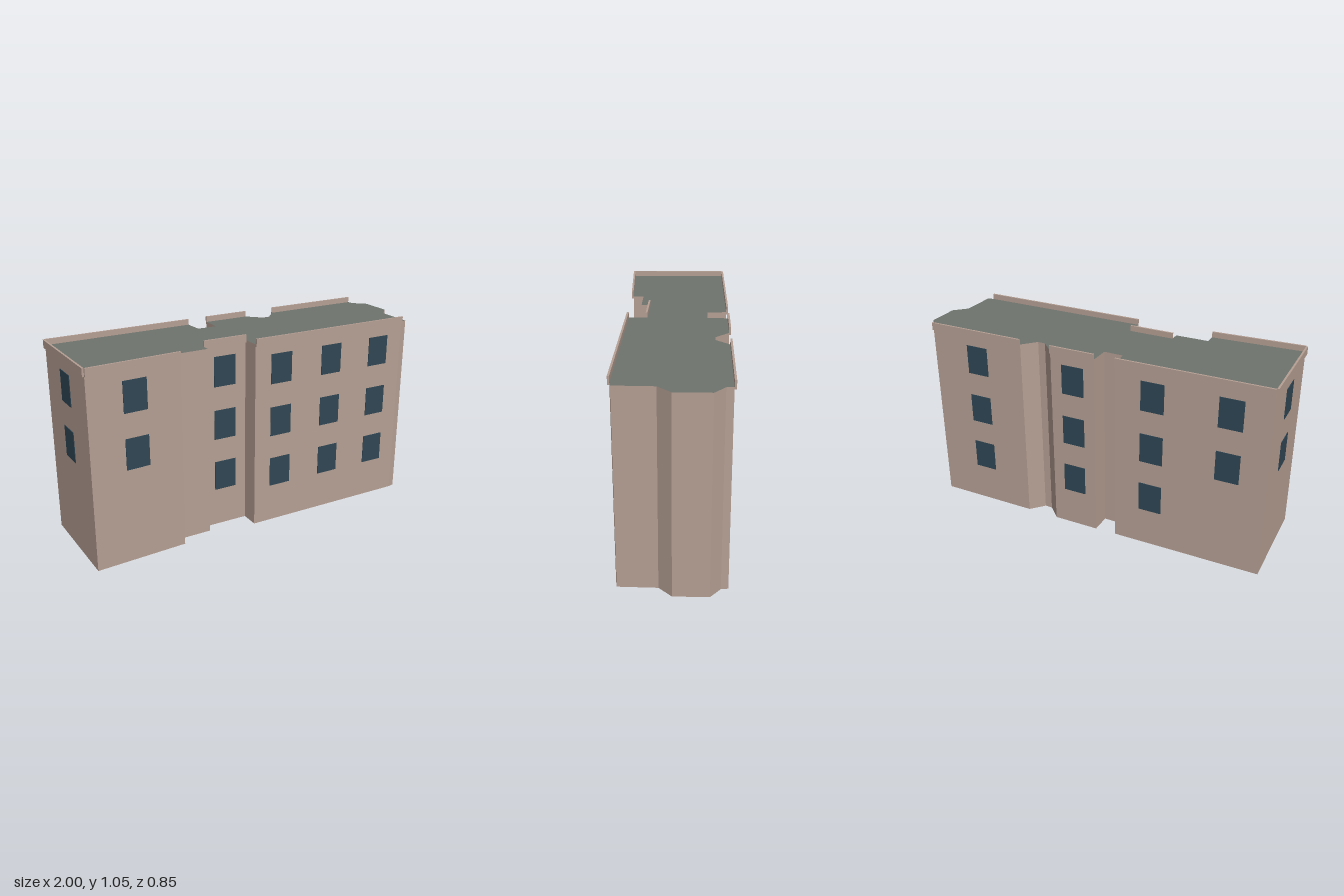
import * as THREE from 'three';

const ROOF_Y = 1.02;

// Footprint corners [x, z], running along the back, the right end, the front and the left end.
// Optional third entry: windows per column (number of storeys, counted from the top)
// on the wall that starts at that corner. Walls with windows also carry a parapet.
const FOOTPRINT = [
  [-0.99, -0.123, [2, 3]], [-0.193, -0.25], [-0.17, -0.15], [-0.067, -0.163],
  [-0.081, -0.27, [3]], [0.168, -0.308], [0.249, -0.249], [0.29, -0.254],
  [0.345, -0.334, [3]], [0.89, -0.416], [0.9, -0.382], [0.97, -0.34],
  [0.996, -0.166], [0.942, -0.092], [0.968, 0.103],
  [0.935, 0.114, [3, 3, 3]], [0, 0.249], [-0.016, 0.15, null],
  [-0.258, 0.184], [-0.252, 0.235], [-0.428, 0.262],
  [-0.42, 0.319, [2]], [-0.901, 0.417, [2]],
];
FOOTPRINT[17][2] = [3];

const WINDOW = { width: 0.125, height: 0.162, centres: [0.874, 0.582, 0.29] };
const PARAPET = { bottom: 1.008, top: 1.05, depth: 0.01 };

export function createModel() {
  const group = new THREE.Group();
  const wallMat = new THREE.MeshStandardMaterial({ color: 0xb59f93 });
  const roofMat = new THREE.MeshStandardMaterial({ color: 0x6e736d });
  const glassMat = new THREE.MeshStandardMaterial({ color: 0x2f4654 });

  // Main block: footprint extruded upwards, caps are the roof and the underside
  const shape = new THREE.Shape(FOOTPRINT.map(([x, z]) => new THREE.Vector2(x, -z)));
  const bodyGeo = new THREE.ExtrudeGeometry(shape, { depth: ROOF_Y, bevelEnabled: false });
  bodyGeo.rotateX(-Math.PI / 2);
  const body = new THREE.Mesh(bodyGeo, [roofMat, wallMat]);
  body.name = 'wallsAndRoof';
  group.add(body);

  // Each windowed wall gets a frame whose +x runs along the wall and +z points outwards
  FOOTPRINT.forEach(([bx, bz, columns], i) => {
    if (!columns) return;
    const [ax, az] = FOOTPRINT[(i + 1) % FOOTPRINT.length];
    const length = Math.hypot(bx - ax, bz - az);
    const wall = new THREE.Group();
    wall.name = 'facade';
    wall.position.set(ax, 0, az);
    wall.rotation.y = Math.atan2(-(bz - az), bx - ax);
    group.add(wall);

    const addBox = (name, material, size, position) => {
      const mesh = new THREE.Mesh(new THREE.BoxGeometry(...size), material);
      mesh.name = name;
      mesh.position.set(...position);
      wall.add(mesh);
    };

    // Parapet strip standing just outside the wall line
    addBox('parapet', wallMat,
      [length, PARAPET.top - PARAPET.bottom, PARAPET.depth],
      [length / 2, (PARAPET.top + PARAPET.bottom) / 2, PARAPET.depth / 2]);

    // Evenly spaced window columns
    columns.forEach((storeys, c) => {
      const x = length * (1 - (c + 0.5) / columns.length);
      WINDOW.centres.slice(0, storeys).forEach((y) =>
        addBox('window', glassMat, [WINDOW.width, WINDOW.height, 0.006], [x, y, 0]));
    });
  });

  return group;
}
